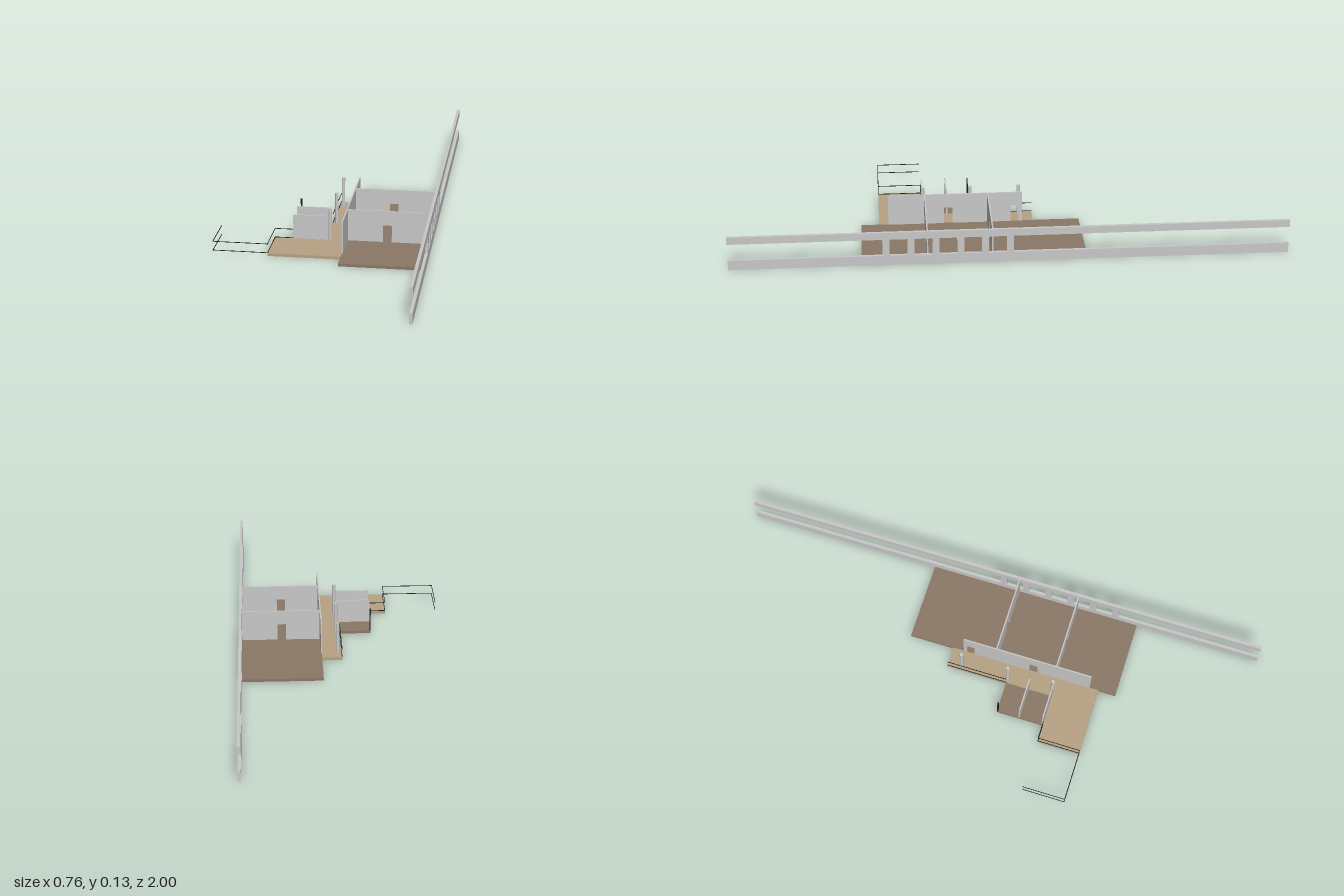
import * as THREE from 'three';

export function createModel() {
  const house = new THREE.Group();
  house.name = 'pavilion';
  const mat = (name, color, side = THREE.FrontSide) => {
    const m = new THREE.MeshStandardMaterial({ color, side });
    m.name = name;
    return m;
  };
  const concrete = mat('concrete grey', 0xc8c8c8);
  const brown = mat('brown floor', 0x8b7866);
  const tan = mat('tan deck', 0xb6a284);
  const black = mat('black metal', 0x1c1c1c);

  // box given by its minimum and maximum on each axis
  const box = (name, m, x0, x1, y0, y1, z0, z1) => {
    const mesh = new THREE.Mesh(new THREE.BoxGeometry(x1 - x0, y1 - y0, z1 - z0), m);
    mesh.position.set((x0 + x1) / 2, (y0 + y1) / 2, (z0 + z1) / 2);
    mesh.name = name;
    house.add(mesh);
    return mesh;
  };

  // wall plate along u with door notches cut up from its base
  const BASE = 0.01, TOP = 0.127, DOOR = 0.073, T = 0.005;
  const wall = (name, u0, u1, doors) => {
    const s = new THREE.Shape();
    s.moveTo(u0, BASE);
    for (const [a, b] of doors) {
      s.lineTo(a, BASE);
      s.lineTo(a, DOOR);
      s.lineTo(b, DOOR);
      s.lineTo(b, BASE);
    }
    s.lineTo(u1, BASE);
    s.lineTo(u1, TOP);
    s.lineTo(u0, TOP);
    const g = new THREE.ExtrudeGeometry(s, { depth: T, bevelEnabled: false });
    g.translate(0, 0, -T / 2);
    const mesh = new THREE.Mesh(g, concrete);
    mesh.name = name;
    house.add(mesh);
    return mesh;
  };

  // floors
  box('mainFloor', brown, 0.075, 0.37, 0, BASE, -0.275, 0.53);
  box('annexFloor', brown, -0.118, 0, 0, BASE, 0.125, 0.305);
  box('hallDeck', tan, 0, 0.075, 0, BASE, -0.105, 0.305);
  box('frontDeck', tan, -0.185, 0.075, 0, BASE, 0.305, 0.465);

  // long side wall: two beams joined by piers, leaving five windows
  box('lowerBeam', concrete, 0.37, 0.381, 0, 0.037, -1, 1);
  box('upperBeam', concrete, 0.37, 0.381, 0.1, TOP, -1, 1);
  for (let i = 0; i < 6; i++) {
    const z = 0.442 - i * 0.0882;
    box('windowPier', concrete, 0.37, 0.381, 0.037, 0.1, z - 0.0125, z + 0.0125);
  }

  // cross walls, each with a door
  for (const z of [0.295, 0.063]) {
    wall('crossWall', 0.075, 0.37, [[0.205, 0.237]]).position.z = z;
  }

  // hall wall, turned so that its length runs along z
  const hallWall = wall('hallWall', -0.43, 0.065, [[-0.225, -0.193], [0.022, 0.052]]);
  hallWall.rotation.y = Math.PI / 2;
  hallWall.position.x = 0.076;

  // low annex walls
  for (const z of [0.302, 0.212]) {
    box('annexWall', concrete, -0.118, 0.009, BASE, 0.1, z - T / 2, z + T / 2);
  }

  // round columns along the hall
  for (const z of [-0.055, 0.125, 0.3]) {
    const column = new THREE.Mesh(new THREE.CylinderGeometry(0.0065, 0.0065, TOP - BASE, 20), concrete);
    column.position.set(0.0155, (TOP + BASE) / 2, z);
    column.name = 'column';
    house.add(column);
  }

  // corner post of the annex
  box('cornerPost', black, -0.118, -0.113, BASE, 0.1, 0.126, 0.131);

  // thin double rails round the entrance and along the hall
  const W = 0.001;
  const paths = [
    [[-0.38, 0.305], [-0.38, 0.465], [-0.184, 0.465], [-0.184, 0.305], [-0.118, 0.305]],
    [[0.001, -0.105], [0.001, 0.125]],
  ];
  for (const y of [0.012, 0.045]) {
    for (const path of paths) {
      for (let i = 1; i < path.length; i++) {
        const [a, b] = [path[i - 1], path[i]];
        box('rail', black,
          Math.min(a[0], b[0]) - W, Math.max(a[0], b[0]) + W, y - W, y + W,
          Math.min(a[1], b[1]) - W, Math.max(a[1], b[1]) + W);
      }
    }
  }
  return house;
}
